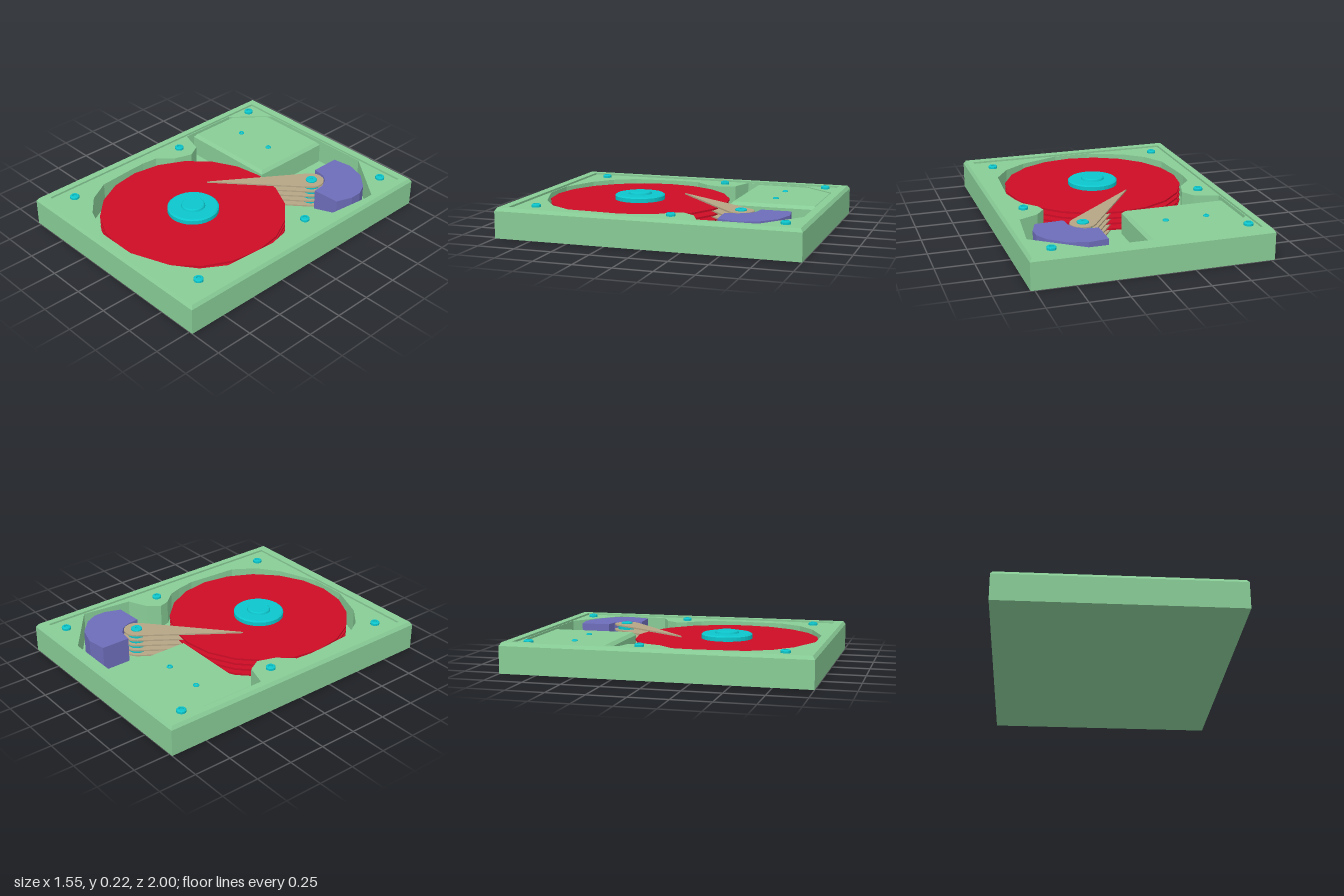
import * as THREE from 'three';

const mat = (color) => new THREE.MeshStandardMaterial({ color, flatShading: true, side: THREE.DoubleSide });
const GREEN = mat(0x88cc96), RED = mat(0xcc0c26), CYAN = mat(0x0cc6cc), TAN = mat(0xb5a585), PURPLE = mat(0x6d6dba);
const FLOOR = 0.02, LEDGE = 0.187, TOP = 0.2;

function add(parent, name, geometry, material, x = 0, y = 0, z = 0) {
  const mesh = new THREE.Mesh(geometry, material);
  mesh.name = name;
  mesh.position.set(x, y, z);
  parent.add(mesh);
  return mesh;
}

const shapeOf = (points) => new THREE.Shape(points.map(([x, z]) => new THREE.Vector2(x, z)));

// Plan outline in (x, z), extruded downwards from y = 0
function plate(shape, depth) {
  return new THREE.ExtrudeGeometry(shape, { depth, bevelEnabled: false }).rotateX(Math.PI / 2);
}

// Rectangular cross-sections [x0, x1, z0, z1, y] joined in order
function loftRects(sections, cap = false) {
  const positions = [];
  const ring = ([x0, x1, z0, z1, y]) => [[x0, y, z1], [x1, y, z1], [x1, y, z0], [x0, y, z0]];
  const quad = (a, b, c, d) => positions.push(...a, ...b, ...c, ...a, ...c, ...d);
  for (let i = 0; i < sections.length - 1; i++) {
    const a = ring(sections[i]), b = ring(sections[i + 1]);
    for (let k = 0; k < 4; k++) quad(a[k], a[(k + 1) % 4], b[(k + 1) % 4], b[k]);
  }
  if (cap) quad(...ring(sections[sections.length - 1]));
  const geometry = new THREE.BufferGeometry();
  geometry.setAttribute('position', new THREE.Float32BufferAttribute(positions, 3));
  geometry.computeVertexNormals();
  return geometry;
}

const lathe = (profile, sides) =>
  new THREE.LatheGeometry(profile.map(([r, y]) => new THREE.Vector2(r, y)), sides);

function buildCase(group) {
  add(group, 'caseFloor', new THREE.BoxGeometry(1.55, FLOOR, 2), GREEN, 0, FLOOR / 2, 0);

  // Outer wall, chamfer, rim and the small step down to the ledge
  add(group, 'caseWall', loftRects([
    [-0.775, 0.775, -1, 1, FLOOR],
    [-0.775, 0.775, -1, 1, 0.178],
    [-0.76, 0.76, -0.985, 0.985, TOP],
    [-0.716, 0.716, -0.932, 0.928, TOP],
    [-0.716, 0.716, -0.932, 0.928, LEDGE],
  ]), GREEN);

  // Ledge with the deep cavity cut through it
  const ledge = shapeOf([[-0.716, -0.932], [0.716, -0.932], [0.716, 0.928], [-0.716, 0.928]]);
  ledge.holes.push(shapeOf([
    [-0.71, -0.27], [-0.55, -0.22], [-0.5, -0.13], [-0.54, -0.01], [-0.63, 0.09], [-0.64, 0.2],
    [-0.635, 0.3], [-0.615, 0.56], [-0.53, 0.71], [-0.4, 0.82], [-0.15, 0.922],
    [0.1, 0.922], [0.37, 0.82], [0.52, 0.71], [0.615, 0.56], [0.637, 0.2], [0.61, 0.07],
    [0.58, -0.02], [0.5, -0.11], [0.48, -0.18], [0.54, -0.26], [0.67, -0.32],
    [0.71, -0.66], [0.36, -0.927], [-0.5, -0.927], [-0.71, -0.69],
  ]));
  add(group, 'caseLedge', plate(ledge, LEDGE - FLOOR), GREEN, 0, LEDGE, 0);

  // Raised housing in the back corner
  add(group, 'cornerBlock', loftRects([
    [-0.705, 0, -0.92, -0.335, FLOOR],
    [-0.705, 0, -0.92, -0.335, 0.16],
    [-0.69, -0.02, -0.905, -0.355, 0.181],
  ], true), GREEN);
}

// Socket-headed screw whose head top sits at y = 0
function screwGeometry(r, depth) {
  return lathe([[r, -depth], [r, -0.006], [r * 0.8, 0], [r * 0.5, 0], [r * 0.5, -0.01], [0, -0.01]], 12);
}

function buildScrews(group) {
  const ledgeScrews = [[-0.66, -0.845], [0.61, -0.86], [-0.62, -0.12], [0.6, -0.13], [-0.62, 0.8], [0.6, 0.79]];
  for (const [x, z] of ledgeScrews) add(group, 'caseScrew', screwGeometry(0.031, 0.03), CYAN, x, 0.207, z);
  for (const x of [-0.48, -0.205]) add(group, 'blockScrew', screwGeometry(0.02, 0.02), CYAN, x, 0.19, -0.6);
}

function buildPlatters(group) {
  const z = 0.3;
  for (let i = 0; i < 4; i++) {
    add(group, 'platter', new THREE.CylinderGeometry(0.61, 0.61, 0.012, 20), RED, 0, 0.159 - i * 0.038, z);
  }
  // Spindle with a chamfered clamp and a central boss
  add(group, 'spindle', lathe([
    [0.15, FLOOR], [0.15, 0.165], [0.17, 0.165], [0.17, 0.192], [0.16, TOP],
    [0.08, TOP], [0.076, 0.212], [0.07, 0.217], [0, 0.217],
  ], 32), CYAN, 0, 0, z);
}

function buildActuator(group) {
  const px = 0.31, pz = -0.5, r = 0.085;

  // Tapered arms reaching from the pivot between the platters
  const tip = [-0.16, 0.03];
  const heading = Math.atan2(tip[1] - pz, tip[0] - px);
  const outline = [tip];
  for (let i = 0; i <= 10; i++) {
    const a = heading + 1.4 + (i / 10) * (2 * Math.PI - 2.8);
    outline.push([px + r * Math.cos(a), pz + r * Math.sin(a)]);
  }
  const arm = plate(shapeOf(outline), 0.01);
  for (let i = 0; i < 5; i++) add(group, 'arm', arm, TAN, 0, 0.191 - i * 0.038, 0);

  add(group, 'pivot', lathe([
    [0.06, FLOOR], [0.06, 0.18], [0.038, 0.182], [0.038, 0.198], [0.034, 0.202],
    [0.011, 0.202], [0.011, 0.196], [0, 0.196],
  ], 16), CYAN, px, 0, pz);

  // Curved magnet behind the pivot
  const magnet = shapeOf([
    [0.24, -0.81], [0.37, -0.83], [0.5, -0.79], [0.6, -0.7], [0.64, -0.62], [0.642, -0.54],
    [0.603, -0.432], [0.415, -0.422], [0.408, -0.5], [0.38, -0.56], [0.33, -0.6], [0.24, -0.613],
  ]);
  add(group, 'magnet', plate(magnet, 0.19 - FLOOR), PURPLE, 0, 0.19, 0);
}

export function createModel() {
  const group = new THREE.Group();
  group.name = 'openDiskDrive';
  buildCase(group);
  buildScrews(group);
  buildPlatters(group);
  buildActuator(group);
  return group;
}
